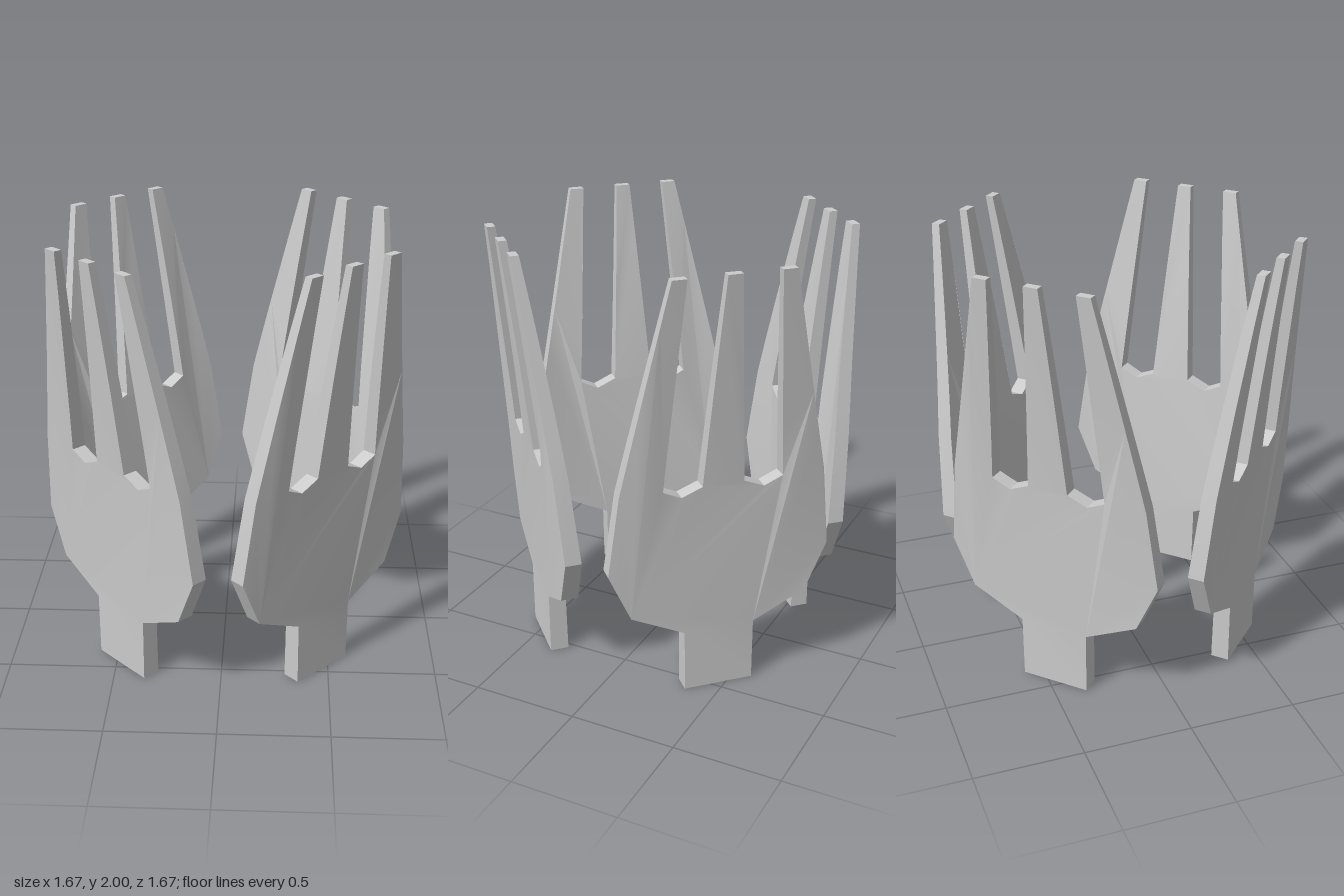
import * as THREE from 'three';
import { toCreasedNormals } from 'three/addons/utils/BufferGeometryUtils.js';

// Half outline of one prong plate: [sideways, height], from the foot up the outer edge,
// over the outer tine, through the slot and up the middle tine
const BODY = [[0.163, 0], [0.165, 0.3], [0.414, 0.42], [0.516, 0.65]];
const TINE_STEPS = 5;

// Points along a straight tine edge, so that it can follow the bend
function edge(from, to) {
  const points = [];
  for (let i = 0; i <= TINE_STEPS; i++) {
    const t = i / TINE_STEPS;
    points.push([THREE.MathUtils.lerp(from[0], to[0], t), THREE.MathUtils.lerp(from[1], to[1], t)]);
  }
  return points;
}

// Distance of the outer face from the centre axis, and thickness, by height
function outerRadius(y) {
  const s = Math.max(0, (y - 0.65) / 1.35);
  return 0.668 + 0.125 * Math.pow(s, 1.2);
}
function thickness(y) {
  if (y < 0.65) return THREE.MathUtils.lerp(0.086, 0.075, y / 0.65);
  return 0.075 - 0.037 * Math.pow((y - 0.65) / 1.35, 1.4);
}

function plateGeometry() {
  const half = [
    ...BODY,
    ...edge([0.47, 1.04], [0.268, 2]), // outer tine, outer edge
    ...edge([0.203, 2], [0.275, 1.035]), // outer tine, inner edge
    [0.19, 0.995], // slot bottom
    ...edge([0.096, 1.035], [0.033, 2]), // middle tine
  ];
  const mirrored = half.map(([u, y]) => [-u, y]).reverse();
  const outline = [...half, ...mirrored].map(([u, y]) => new THREE.Vector2(u, y));
  const geometry = new THREE.ExtrudeGeometry(new THREE.Shape(outline), {
    depth: 1, bevelEnabled: false, steps: 1,
  });

  // Bend the flat plate outward and thin it toward the tips
  const pos = geometry.attributes.position;
  for (let i = 0; i < pos.count; i++) {
    const y = pos.getY(i);
    pos.setZ(i, outerRadius(y) - thickness(y) * (1 - pos.getZ(i)));
  }
  return toCreasedNormals(geometry, THREE.MathUtils.degToRad(20));
}

export function createModel() {
  const model = new THREE.Group();
  model.name = 'prongRing';
  const material = new THREE.MeshStandardMaterial({ color: 0xcccccc });
  const geometry = plateGeometry();

  // Four plates facing the diagonals
  const names = ['frontLeftPlate', 'backLeftPlate', 'backRightPlate', 'frontRightPlate'];
  names.forEach((name, i) => {
    const plate = new THREE.Mesh(geometry, material);
    plate.name = name;
    plate.rotation.y = Math.PI / 4 + (i * Math.PI) / 2;
    model.add(plate);
  });
  return model;
}
